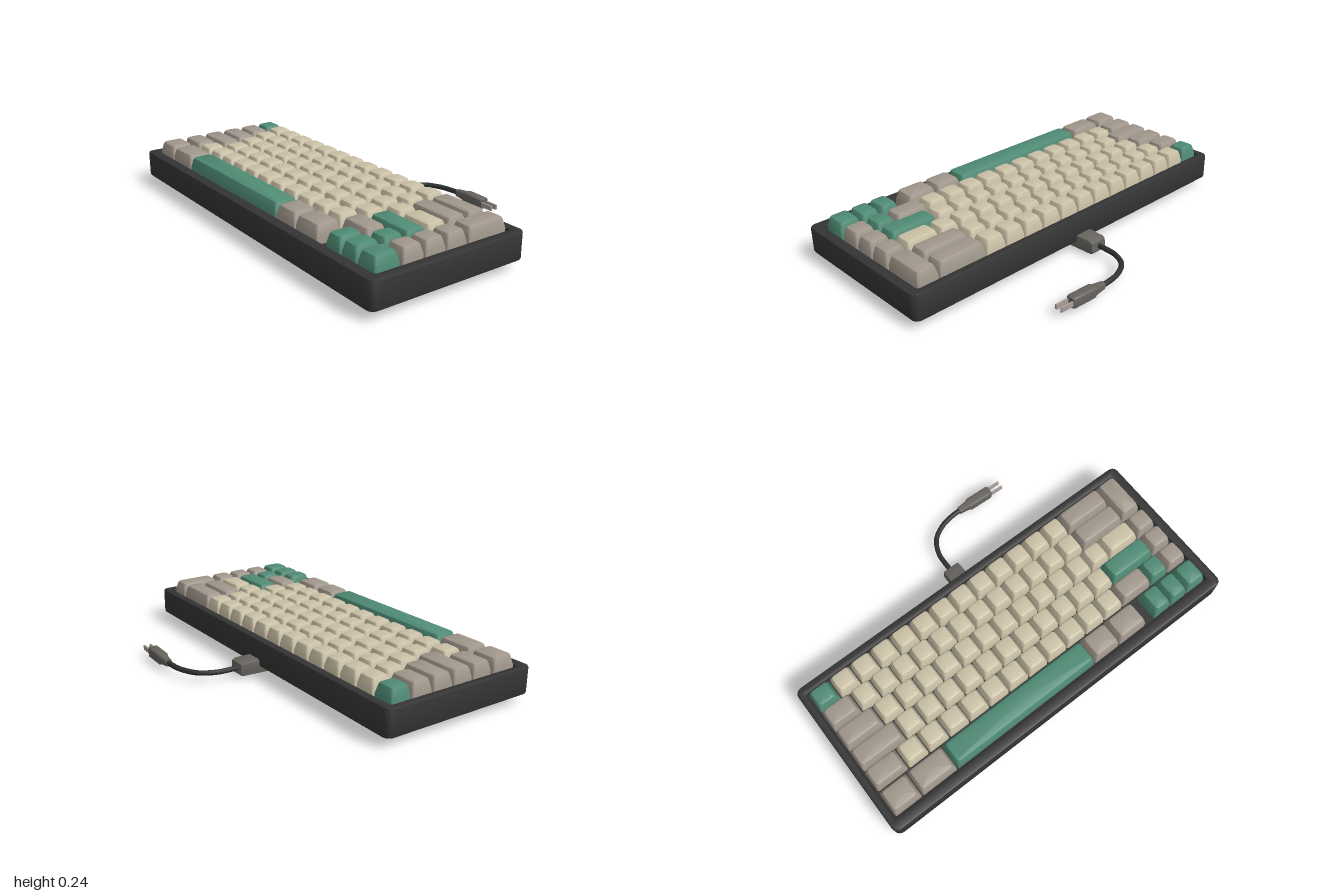
import * as THREE from 'three';
import { toCreasedNormals } from 'three/addons/utils/BufferGeometryUtils.js';

const mat = (name, color) => {
  const m = new THREE.MeshStandardMaterial({ color });
  m.name = name;
  return m;
};

// Closed solid from rounded-rectangle sections; levels are [y, inset, cornerRadius].
// dish lowers the middle of the top face.
function loft(w, d, levels, dish = 0) {
  const pos = [], idx = [], seg = 3, n = 4 * (seg + 1);
  for (const [y, inset, r] of levels) {
    const hx = w / 2 - inset - r, hz = d / 2 - inset - r;
    for (let c = 0; c < 4; c++) {
      const sx = c === 0 || c === 3 ? 1 : -1, sz = c < 2 ? -1 : 1;
      for (let s = 0; s <= seg; s++) {
        const a = (c + s / seg) * Math.PI / 2;
        pos.push(sx * hx + r * Math.cos(a), y, sz * hz - r * Math.sin(a));
      }
    }
  }
  const last = levels.length - 1;
  const bottom = pos.length / 3, top = bottom + 1;
  pos.push(0, levels[0][0], 0, 0, levels[last][0] - dish, 0);
  for (let i = 0; i < n; i++) {
    const j = (i + 1) % n;
    for (let k = 0; k < last; k++) {
      const a = k * n + i, b = k * n + j;
      idx.push(a, b, b + n, a, b + n, a + n);
    }
    idx.push(bottom, j, i, top, last * n + i, last * n + j);
  }
  const g = new THREE.BufferGeometry();
  g.setAttribute('position', new THREE.Float32BufferAttribute(pos, 3));
  g.setIndex(idx);
  return toCreasedNormals(g, 0.6);
}

// Rounded rectangle outline between two corners
function roundRect(P, x0, y0, x1, y1, r) {
  const p = new P();
  p.absarc(x1 - r, y1 - r, r, 0, Math.PI / 2);
  p.absarc(x0 + r, y1 - r, r, Math.PI / 2, Math.PI);
  p.absarc(x0 + r, y0 + r, r, Math.PI, Math.PI * 1.5);
  p.absarc(x1 - r, y0 + r, r, Math.PI * 1.5, Math.PI * 2);
  p.closePath();
  return p;
}

export function createModel() {
  const root = new THREE.Group();
  root.name = 'keyboard';
  const black = mat('case black', 0x343434);
  const cream = mat('key cream', 0xcbc1a7);
  const taupe = mat('key taupe', 0xa1978c);
  const green = mat('key green', 0x4f8b75);
  const grey = mat('connector grey', 0x67645e);
  const cord = mat('cord black', 0x2f3031);
  const metal = mat('prong metal', 0xa99e98);
  const add = (name, geo, m, parent = root) => {
    const mesh = new THREE.Mesh(geo, m);
    mesh.name = name;
    parent.add(mesh);
    return mesh;
  };

  // Case: bevelled frame around a sunken key well, closed by a floor
  const outline = roundRect(THREE.Shape, -1, -0.595, 1, 0.235, 0.035);
  outline.holes.push(roundRect(THREE.Path, -0.962, -0.538, 0.948, 0.19, 0.012));
  const frame = new THREE.ExtrudeGeometry(outline, {
    depth: 0.115, bevelThickness: 0.01, bevelSize: 0.01, bevelOffset: -0.01, bevelSegments: 2, curveSegments: 6,
  });
  frame.rotateX(-Math.PI / 2).translate(0, 0.055, 0);
  add('caseFrame', toCreasedNormals(frame, 0.6), black);
  const floor = new THREE.BoxGeometry(1.95, 0.105, 0.77);
  add('caseFloor', floor.translate(-0.005, 0.0975, 0.175), black);

  // Keys
  const keys = new THREE.Group();
  keys.name = 'keys';
  root.add(keys);
  const U = 0.1186, X0 = -0.957;
  const key = (name, m, u0, u1, z0, z1) => {
    const geo = loft((u1 - u0) * U - 0.005, z1 - z0 - 0.005, [
      [0.14, 0, 0.008], [0.185, 0.001, 0.01], [0.222, 0.009, 0.013],
      [0.232, 0.013, 0.014], [0.236, 0.02, 0.012],
    ], u1 - u0 < 3 ? 0.003 : 0);
    add(name, geo, m, keys).position.set(X0 + (u0 + u1) / 2 * U, 0, (z0 + z1) / 2);
  };
  const rowZ = [-0.183, -0.07, 0.045, 0.161, 0.277, 0.4, 0.535];
  const rowEnd = [-0.07, 0.045, 0.161, 0.277, 0.393, 0.533];

  // Each row: left key, evenly spaced cream keys, then the keys after them as [material, start, end]
  const rows = [
    { left: green, from: 1, to: 12.8, count: 12, right: [[taupe, 12.8, 15]] },
    { left: taupe, from: 1.35, to: 12.8, count: 12, right: [[taupe, 12.8, 15]] },
    { left: taupe, from: 1.75, to: 13.45, count: 12, right: [[cream, 13.45, 15], [taupe, 15, 16]] },
    { left: taupe, from: 2.1, to: 12.8, count: 11, right: [[green, 12.8, 15], [taupe, 15, 16]] },
    { left: taupe, from: 1.5, to: 12.5, count: 11, right: [[taupe, 12.5, 14.05], [green, 14.05, 15], [taupe, 15, 16]] },
  ];
  rows.forEach((row, r) => {
    const z0 = rowZ[r], z1 = rowEnd[r];
    key('leftKey', row.left, 0, row.from, z0, z1);
    const w = (row.to - row.from) / row.count;
    for (let i = 0; i < row.count; i++) key('letterKey', cream, row.from + i * w, row.from + (i + 1) * w, z0, z1);
    for (const [m, a, b] of row.right) key('rightKey', m, a, b, z0, z1);
  });
  key('tallKey', taupe, 15, 16, rowZ[0], 0.04);

  // Bottom row with the space bar and arrow keys
  const bottomRow = [
    ['modifierKey', taupe, 0, 1.3], ['modifierKey', taupe, 1.3, 3], ['spaceBar', green, 3, 10],
    ['modifierKey', taupe, 10, 11.3], ['modifierKey', taupe, 11.3, 12.75],
    ['arrowKey', green, 13.2, 14.1], ['arrowKey', green, 14.1, 15], ['arrowKey', green, 15, 16],
  ];
  for (const [name, m, a, b] of bottomRow) key(name, m, a, b, rowZ[5], rowEnd[5]);

  // Tapered front feet
  for (const s of [-1, 1]) {
    const foot = loft(0.14, 0.16, [[0, 0.036, 0.01], [0.008, 0.03, 0.012], [0.045, 0.003, 0.012], [0.055, 0, 0.012]]);
    add('foot', foot, black).position.set(s * 0.855, 0, 0.38);
  }

  // Cable connector tucked under the back edge
  const side = new THREE.Shape([
    [-0.02, 0.05], [-0.005, 0.011], [0.05, 0.01], [0.325, 0.02], [0.332, 0.03],
    [0.328, 0.07], [0.315, 0.077], [0.2, 0.077], [0.1, 0.055],
  ].map(([x, y]) => new THREE.Vector2(x, y)));
  const connector = new THREE.ExtrudeGeometry(side, {
    depth: 0.08, bevelThickness: 0.007, bevelSize: 0.006, bevelSegments: 2,
  });
  connector.translate(0, 0, -0.04).rotateY(Math.PI / 2).translate(-0.003, 0, 0);
  add('connector', toCreasedNormals(connector, 0.6), grey);

  // Cable sweeping back and to the side
  const path = new THREE.CatmullRomCurve3([
    [-0.006, -0.31], [-0.006, -0.37], [0, -0.44], [0.04, -0.517], [0.12, -0.563], [0.2, -0.577], [0.27, -0.577],
  ].map(([x, z]) => new THREE.Vector3(x, 0.047, z)));
  add('cable', new THREE.TubeGeometry(path, 40, 0.013, 10), cord);

  // Plug with two prongs
  const plug = new THREE.Group();
  plug.name = 'plug';
  plug.position.set(0.235, 0.047, -0.578);
  plug.rotation.y = -0.04;
  root.add(plug);
  const body = loft(0.056, 0.052, [
    [0, 0.01, 0.01], [0.05, 0.006, 0.01], [0.07, 0, 0.01], [0.19, 0, 0.01], [0.198, 0.004, 0.008],
  ]);
  add('plugBody', body.rotateZ(-Math.PI / 2), grey, plug);
  for (const s of [-1, 1]) {
    add('prong', new THREE.BoxGeometry(0.075, 0.024, 0.009), metal, plug).position.set(0.23, 0, s * 0.016);
  }
  return root;
}
